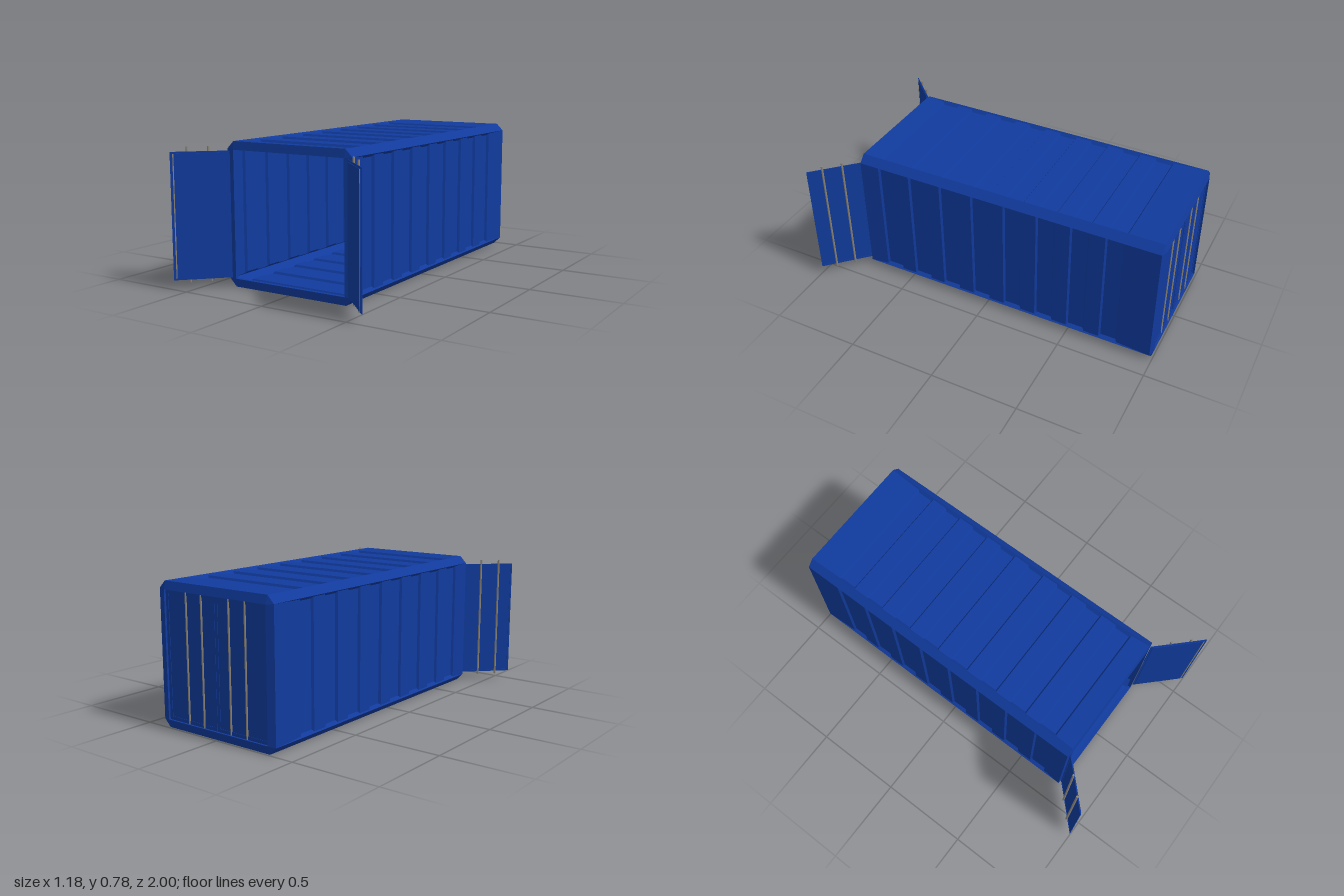
import * as THREE from 'three';

const blue = new THREE.MeshStandardMaterial({ color: 0x103a9c, flatShading: true, side: THREE.DoubleSide });
const steel = new THREE.MeshStandardMaterial({ color: 0x8a8478 });

const HX = 0.39, H = 0.78, CH = 0.04;          // half width, height, edge chamfer
const ZF = 0.773, ZB = -0.988;                 // ends of the long body
const OX = 0.347, OY0 = 0.045, OY1 = 0.735;    // end openings

function add(parent, name, geometry, material, x = 0, y = 0, z = 0) {
  const mesh = new THREE.Mesh(geometry, material);
  mesh.name = name;
  mesh.position.set(x, y, z);
  parent.add(mesh);
  return mesh;
}

// Surface through rows of points, each row having the same length
function loft(rows) {
  const n = rows[0].length, index = [];
  for (let r = 0; r < rows.length - 1; r++) {
    for (let i = 0; i < n - 1; i++) {
      const a = r * n + i, b = a + n;
      index.push(a, a + 1, b + 1, a, b + 1, b);
    }
  }
  const g = new THREE.BufferGeometry();
  g.setAttribute('position', new THREE.Float32BufferAttribute(rows.flat(2), 3));
  g.setIndex(index);
  const flat = g.toNonIndexed();
  flat.computeVertexNormals();
  return flat;
}

// Corrugated panel; place(u, depth, z) maps it to one side of the body
function corrugated(half, place) {
  const shallow = 0.008, deep = 0.02, bands = 15, z0 = -0.79, step = 1.45 / bands;
  const stations = [[ZB, 0]];
  for (let i = 0; i < bands; i++) {
    const z = z0 + i * step, d = i % 2 ? shallow : deep;
    if (i === 0) stations.push([z - 0.004, shallow]);
    stations.push([z + 0.004, d], [z + step - 0.004, d]);
  }
  stations.push([z0 + bands * step + 0.004, shallow], [ZF, 0]);
  return loft(stations.map(([z, d]) => [
    place(-half, 0, z), place(-half + d * 0.8, d, z),
    place(half - d * 0.8, d, z), place(half, 0, z),
  ]));
}

// Chamfered outline and the matching opening corners, both closed loops
const X = HX - CH, T = H - CH;
const outline = [[X, H], [HX, T], [HX, CH], [X, 0], [-X, 0], [-HX, CH], [-HX, T], [-X, H], [X, H]];
const opening = outline.map(([x, y]) => [Math.sign(x) * OX, y > H / 2 ? OY1 : OY0]);

// End frame: sloping face ring plus a short lip into the opening
function endFrame(zOuter, zInner, zLip) {
  const row = (pts, z) => pts.map(([x, y]) => [x, y, z]);
  return loft([row(outline, zOuter), row(opening, zInner), row(opening, zLip)]);
}

// Door hinged at x = 0, reaching to +x, with its outside towards -z
function makeDoor(width, y0, y1, rodXs, rodY0, rodY1, rodZ, border) {
  const door = new THREE.Group();
  const rim = new THREE.Shape([[0, y0], [width, y0], [width, y1], [0, y1]].map(p => new THREE.Vector2(...p)));
  const a = border, b = width - border, c = y0 + border, d = y1 - border;
  rim.holes.push(new THREE.Path([[a, c], [a, d], [b, d], [b, c]].map(p => new THREE.Vector2(...p))));
  add(door, 'doorRim', new THREE.ExtrudeGeometry(rim, { depth: 0.004, bevelEnabled: false }), blue, 0, 0, -0.002);
  add(door, 'doorPanel', new THREE.BoxGeometry(b - a, d - c, 0.005), blue, width / 2, (y0 + y1) / 2, 0.003);
  for (const x of rodXs) {
    add(door, 'lockRod', new THREE.CylinderGeometry(0.006, 0.006, rodY1 - rodY0, 10), steel, x, (rodY0 + rodY1) / 2, rodZ);
  }
  return door;
}

export function createModel() {
  const model = new THREE.Group();
  model.name = 'shippingContainer';

  // Corrugated roof, floor and side walls
  const mid = H / 2;
  add(model, 'roof', corrugated(X, (u, d, z) => [u, H - d, z]), blue);
  add(model, 'floor', corrugated(X, (u, d, z) => [u, d, z]), blue);
  for (const s of [1, -1]) {
    add(model, s > 0 ? 'leftWall' : 'rightWall',
      corrugated(mid - CH, (u, d, z) => [s * (HX - d), mid + u, z]), blue);
    // Chamfered long rails
    for (const [ya, yb, label] of [[H, T, 'topRail'], [0, CH, 'bottomRail']]) {
      add(model, label, loft([ZB, ZF].map(z => [[s * X, ya, z], [s * HX, yb, z]])), blue);
    }
  }

  // End frames
  add(model, 'frontFrame', endFrame(ZF, 0.78, 0.76), blue);
  add(model, 'backFrame', endFrame(ZB, -1, -0.98), blue);

  // Closed back doors and open front doors, mirrored left and right
  for (const s of [1, -1]) {
    const closed = makeDoor(OX - 0.001, OY0, OY1, [0.145, 0.253], OY0, OY1, 0, 0.018);
    closed.name = 'backDoor';
    closed.position.set(-s * OX, 0, -0.986);
    closed.scale.x = s;
    model.add(closed);

    const open = makeDoor(0.307, 0.05, 0.73, [0.11, 0.22], 0.035, 0.755, -0.005, 0.01);
    open.name = 'frontDoor';
    add(open, 'doorSeal', new THREE.BoxGeometry(0.006, 0.66, 0.003), steel, 0.291, 0.39, 0.006);
    open.rotation.y = -Math.PI / 4;
    const side = new THREE.Group();
    side.name = s > 0 ? 'leftFrontDoor' : 'rightFrontDoor';
    open.position.set(0.37, 0, 0.78);
    side.add(open);
    side.scale.x = s;
    model.add(side);
  }
  return model;
}
